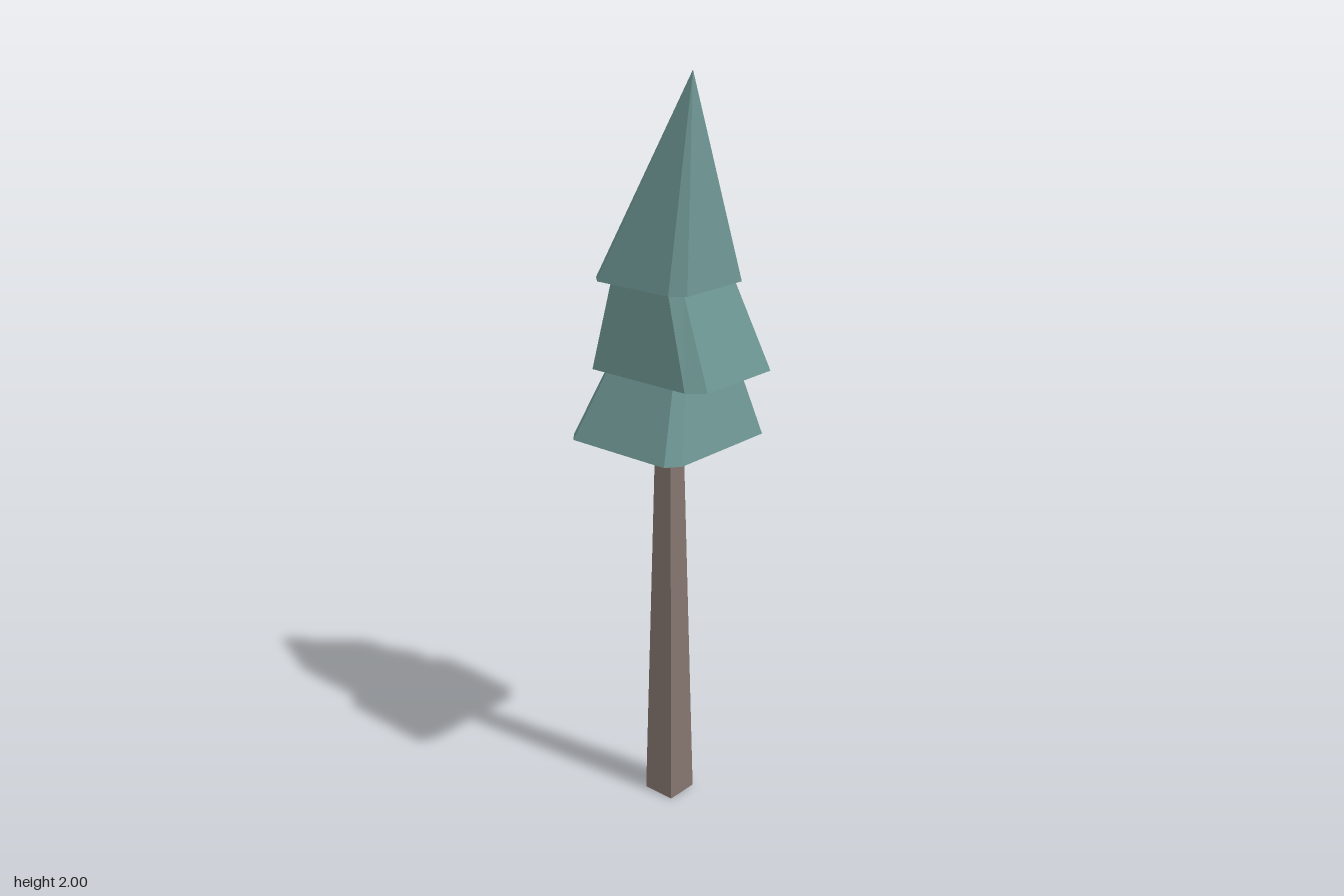
import * as THREE from 'three';

// Flat-shaded solid lofted between closed rings of [x, z] corners at given heights
function loft(name, rings, material) {
  const pos = [];
  const n = rings[0].pts.length;
  const at = (r, i) => [r.pts[i % n][0], r.y, r.pts[i % n][1]];
  for (let k = 0; k < rings.length - 1; k++) {
    const lo = rings[k], hi = rings[k + 1];
    for (let i = 0; i < n; i++) {
      pos.push(...at(lo, i), ...at(hi, i), ...at(lo, i + 1));
      pos.push(...at(lo, i + 1), ...at(hi, i), ...at(hi, i + 1));
    }
  }
  const base = rings[0], top = rings[rings.length - 1];
  for (let i = 1; i < n - 1; i++) {
    pos.push(...at(base, 0), ...at(base, i), ...at(base, i + 1));
    pos.push(...at(top, 0), ...at(top, i + 1), ...at(top, i));
  }
  const geo = new THREE.BufferGeometry();
  geo.setAttribute('position', new THREE.Float32BufferAttribute(pos, 3));
  geo.computeVertexNormals();
  const mesh = new THREE.Mesh(geo, material);
  mesh.name = name;
  return mesh;
}

// Fit a ring into the rectangle [x0, x1, z0, z1]
function fit(pts, [x0, x1, z0, z1]) {
  const remap = (k, lo, hi) => {
    const v = pts.map(p => p[k]);
    const a = Math.min(...v), b = Math.max(...v);
    return v.map(t => lo + (hi - lo) * (t - a) / (b - a));
  };
  const xs = remap(0, x0, x1), zs = remap(1, z0, z1);
  return xs.map((x, i) => [x, zs[i]]);
}

export function createModel() {
  const group = new THREE.Group();
  group.name = 'pineTree';
  const bark = new THREE.MeshStandardMaterial({ color: 0x85766f, flatShading: true });
  const needles = new THREE.MeshStandardMaterial({ color: 0x6c9491, flatShading: true });

  // Tapered square trunk
  const square = [[-1, -1], [1, -1], [1, 1], [-1, 1]];
  group.add(loft('trunk', [
    { y: 0, pts: fit(square, [-0.065, 0.03, -0.047, 0.047]) },
    { y: 1.08, pts: fit(square, [-0.042, 0.01, -0.026, 0.026]) },
  ], bark));

  // Irregular chamfered tiers, each narrowing to the one above; the last ends in a point
  const tiers = [
    { name: 'lowerFoliage', y0: 1.075, y1: 1.255, top: [-0.147, 0.113, -0.155, 0.112],
      pts: [[-0.2, -0.173], [-0.17, -0.203], [0.122, -0.203], [0.168, -0.157],
        [0.168, 0.163], [0.14, 0.2], [-0.17, 0.2], [-0.2, 0.168]] },
    { name: 'middleFoliage', y0: 1.255, y1: 1.48, top: [-0.13, 0.1, -0.138, 0.107],
      pts: [[-0.175, -0.158], [-0.155, -0.177], [0.168, -0.177], [0.198, -0.147],
        [0.198, 0.104], [0.155, 0.14], [-0.155, 0.14], [-0.175, 0.105]] },
    { name: 'upperFoliage', y0: 1.48, y1: 2, top: [0.043, 0.043, -0.019, -0.019],
      pts: [[-0.19, -0.123], [-0.132, -0.155], [0.088, -0.155], [0.12, -0.122],
        [0.12, 0.09], [0.082, 0.117], [-0.155, 0.117], [-0.19, 0.084]] },
  ];
  for (const t of tiers) {
    group.add(loft(t.name, [{ y: t.y0, pts: t.pts }, { y: t.y1, pts: fit(t.pts, t.top) }], needles));
  }
  return group;
}
